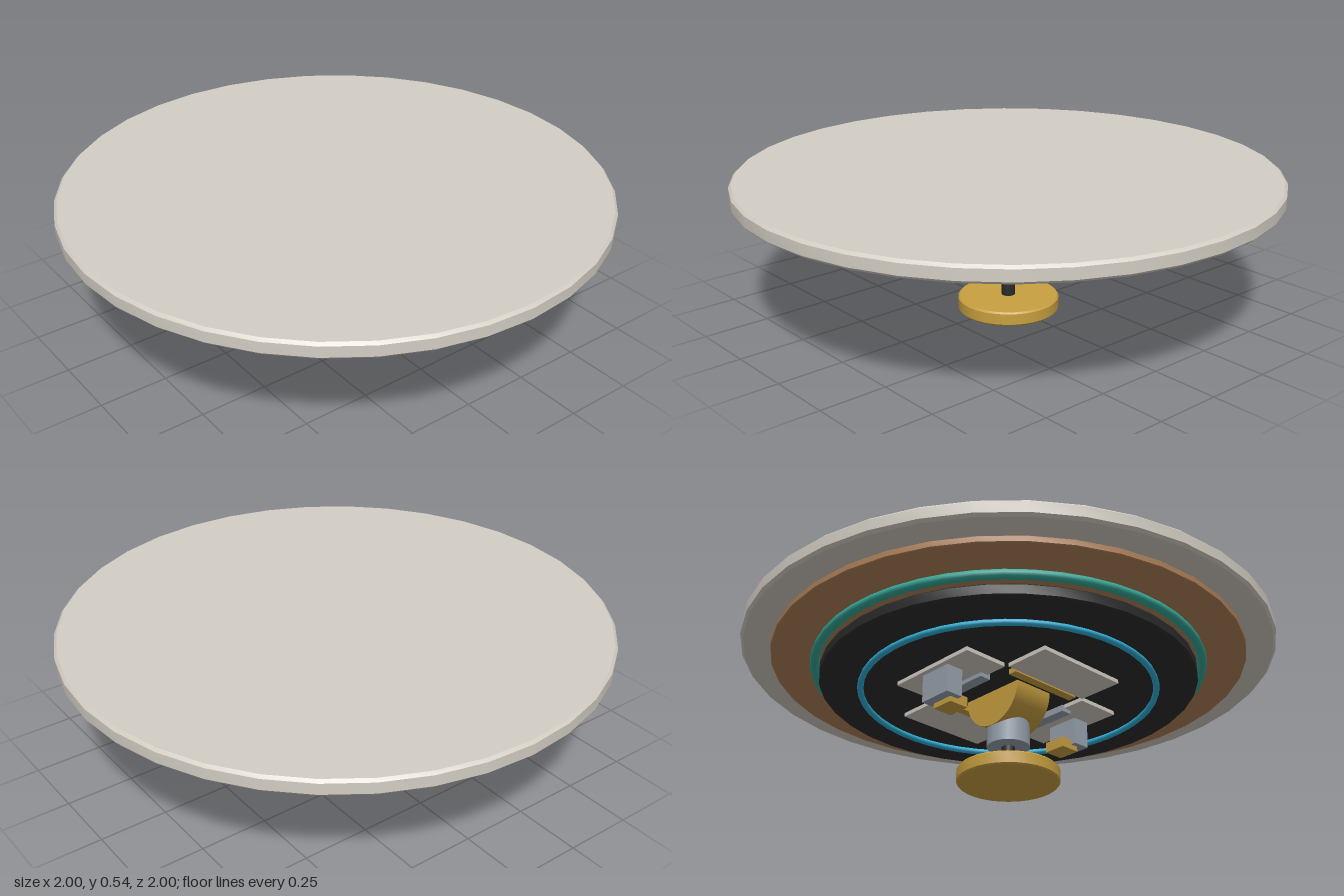
import * as THREE from 'three';
import { toCreasedNormals } from 'three/addons/utils/BufferGeometryUtils.js';

const colour = (name, hex) => {
  const m = new THREE.MeshStandardMaterial({ color: hex });
  m.name = name;
  return m;
};

export function createModel() {
  const model = new THREE.Group();
  const ivory = colour('ivory', 0xd4cec4);
  const copper = colour('copper', 0xb08058);
  const teal = colour('teal', 0x35a898);
  const black = colour('black', 0x2b2b2b);
  const cyan = colour('cyan', 0x30b0d8);
  const gold = colour('gold', 0xc8a040);
  const steel = colour('steel', 0x98a2ae);

  const add = (name, geometry, material, x = 0, y = 0, z = 0) => {
    const mesh = new THREE.Mesh(geometry, material);
    mesh.name = name;
    mesh.position.set(x, y, z);
    model.add(mesh);
    return mesh;
  };

  // Solid disc with a small bevel on both rims
  const disc = (name, r, y0, y1, bevel, material, sides = 36) => {
    const profile = [[0, y0], [r - bevel, y0], [r, y0 + bevel], [r, y1 - bevel], [r - bevel, y1], [0, y1]];
    const lathe = new THREE.LatheGeometry(profile.map(p => new THREE.Vector2(...p)), sides);
    return add(name, toCreasedNormals(lathe, 0.5), material);
  };

  const ring = (name, r, tube, y, material) =>
    add(name, new THREE.TorusGeometry(r, tube, 10, 48).rotateX(Math.PI / 2), material, 0, y);

  const box = (name, w, h, d, material, x, y, z) =>
    add(name, new THREE.BoxGeometry(w, h, d), material, x, y, z);

  // Stacked discs and rings
  disc('topDisc', 1, 0.48, 0.54, 0.01, ivory);
  disc('copperDisc', 0.89, 0.455, 0.48, 0.003, copper);
  ring('tealRing', 0.726, 0.018, 0.438, teal);
  disc('blackDisc', 0.707, 0.37, 0.42, 0.008, black);
  ring('cyanRing', 0.553, 0.012, 0.358, cyan);

  // Four plates in a cross on the underside
  for (const s of [-1, 1]) {
    box('sidePlate', 0.18, 0.015, 0.38, ivory, s * 0.29, 0.343, 0);
    box('crossPlate', 0.38, 0.015, 0.18, ivory, 0, 0.343, s * 0.29);

    // Guide rails around the middle opening
    box('steelRail', 0.045, 0.025, 0.2, steel, s * 0.21, 0.333, 0);
    box('goldRail', 0.31, 0.02, 0.035, gold, 0, 0.34, s * 0.182);

    // Hooked clamps
    box('clampPost', 0.07, 0.115, 0.134, steel, s * 0.326, 0.2875, 0);
    box('clampHook', 0.08, 0.04, 0.09, gold, s * 0.285, 0.23, 0);
  }

  // Half-round saddle, its flat face up
  const half = new THREE.Shape();
  half.absarc(0, 0, 0.135, Math.PI, Math.PI * 2, false);
  half.closePath();
  const saddle = new THREE.ExtrudeGeometry(half, { depth: 0.166, bevelEnabled: false, curveSegments: 16 });
  saddle.translate(0, 0, -0.083).rotateY(Math.PI / 2);
  add('saddle', toCreasedNormals(saddle, 0.5), gold, 0, 0.345, 0);

  // Collar, shaft and hand knob
  add('collar', new THREE.CylinderGeometry(0.08, 0.08, 0.12, 24), steel, 0, 0.203);
  add('shaft', new THREE.CylinderGeometry(0.025, 0.025, 0.13, 16), black, 0, 0.105);
  disc('knob', 0.19, 0, 0.053, 0.006, gold, 32);

  return model;
}
